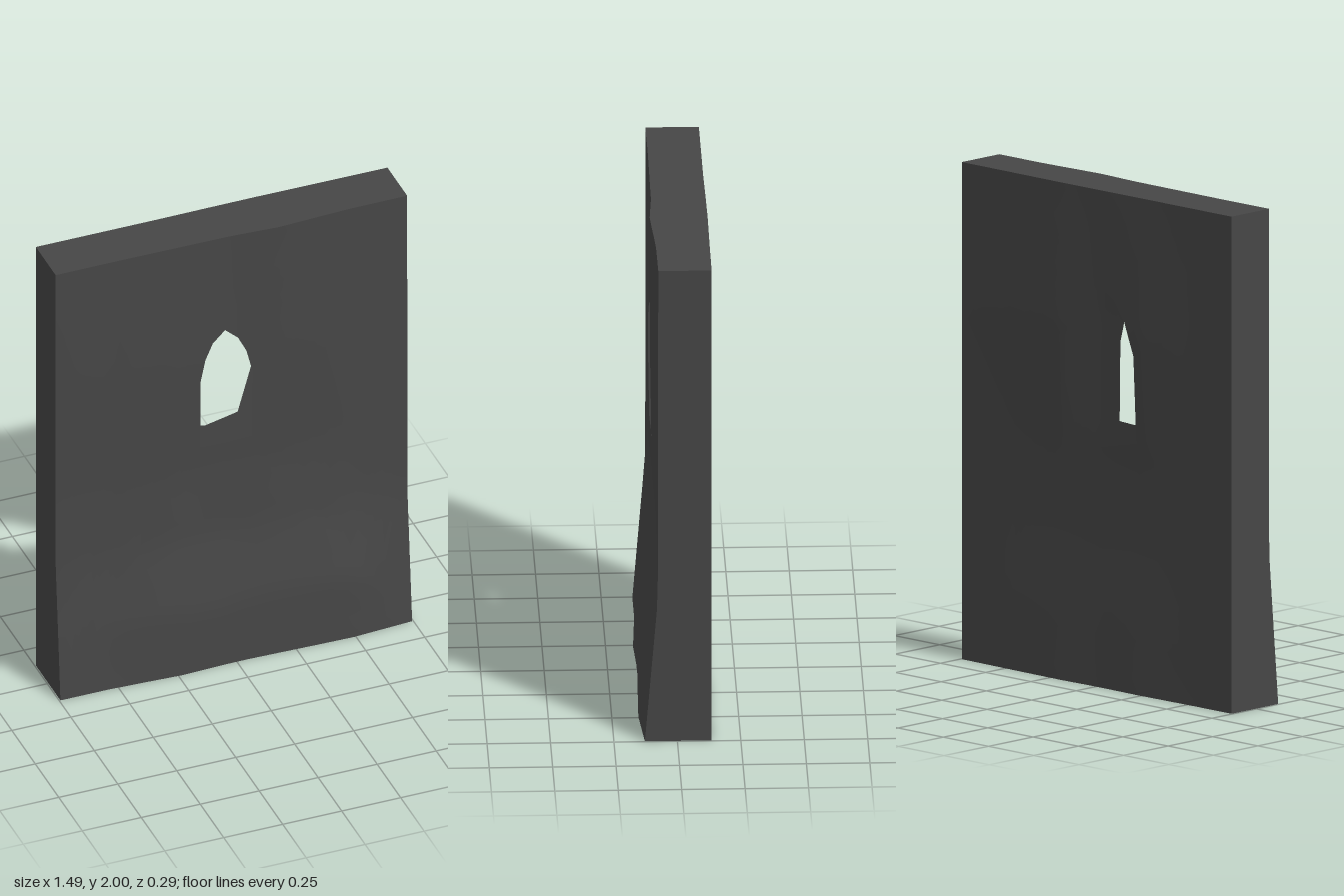
import * as THREE from 'three';
import { toCreasedNormals } from 'three/addons/utils/BufferGeometryUtils.js';

const CX = -0.025, CY = 1.25; // centre of the window, rays start here

// Outlines, anticlockwise as seen from the front; the window is wider at the back
const wallOutline = [[-0.745, 0], [0.745, 0], [0.745, 2], [-0.745, 2]];
const frontWindow = [[-0.135, 1.023], [-0.03, 1.018], [0.085, 1.023], [0.085, 1.34], [0.06, 1.44],
  [0.025, 1.51], [-0.03, 1.56], [-0.083, 1.51], [-0.115, 1.44], [-0.135, 1.34]];
const backWindow = [[-0.22, 1.01], [-0.03, 0.965], [0.11, 0.995], [0.17, 1.2], [0.17, 1.38],
  [0.1, 1.54], [-0.02, 1.61], [-0.1, 1.57], [-0.16, 1.49], [-0.21, 1.36]];

// Uneven wall faces: depth at a coarse grid of columns (x) and rows (y)
const columns = [-0.745, -0.5, -0.25, 0, 0.2, 0.48, 0.745];
const rows = [0, 0.28, 0.6, 0.9, 1.45, 2];
const frontDepth = [
  [0.127, 0.127, 0.142, 0.133, 0.138, 0.146, 0.128],
  [0.104, 0.115, 0.136, 0.126, 0.133, 0.14, 0.104],
  [0.077, 0.08, 0.093, 0.085, 0.095, 0.091, 0.077],
  [0.076, 0.077, 0.08, 0.078, 0.08, 0.08, 0.076],
  [0.076, 0.079, 0.093, 0.083, 0.09, 0.081, 0.076],
  [0.076, 0.075, 0.077, 0.079, 0.091, 0.076, 0.075]];
const backDepth = [
  [-0.135, -0.135, -0.142, -0.138, -0.145, -0.14, -0.135],
  [-0.135, -0.135, -0.138, -0.137, -0.142, -0.139, -0.135],
  [-0.134, -0.133, -0.132, -0.132, -0.132, -0.133, -0.134],
  [-0.134, -0.134, -0.134, -0.133, -0.134, -0.134, -0.134],
  [-0.135, -0.137, -0.145, -0.138, -0.146, -0.14, -0.135],
  [-0.135, -0.135, -0.135, -0.137, -0.138, -0.136, -0.135]];

function locate(list, v) {
  let i = 0;
  while (i < list.length - 2 && v > list[i + 1]) i++;
  return [i, THREE.MathUtils.clamp((v - list[i]) / (list[i + 1] - list[i]), 0, 1)];
}

function depthAt(table, x, y) {
  const [c, s] = locate(columns, x), [r, t] = locate(rows, y);
  const lerp = THREE.MathUtils.lerp;
  return lerp(lerp(table[r][c], table[r][c + 1], s), lerp(table[r + 1][c], table[r + 1][c + 1], s), t);
}

// Ray directions: even steps plus every outline corner
function rayAngles() {
  const list = [wallOutline, frontWindow, backWindow].flat().map(([x, y]) => Math.atan2(y - CY, x - CX));
  for (let i = 0; i < 56; i++) list.push(-Math.PI + (i + 0.5) / 56 * Math.PI * 2);
  list.sort((a, b) => a - b);
  return list.filter((a, i) => i === 0 || a - list[i - 1] > 1e-4);
}

// Point where a ray from the window centre meets an outline
function hit(outline, angle) {
  const dx = Math.cos(angle), dy = Math.sin(angle);
  let reach = 0;
  outline.forEach(([ax, ay], i) => {
    const [bx, by] = outline[(i + 1) % outline.length];
    const ex = bx - ax, ey = by - ay, det = dx * ey - dy * ex;
    if (Math.abs(det) < 1e-9) return;
    const t = ((ax - CX) * ey - (ay - CY) * ex) / det;
    const u = ((ax - CX) * dy - (ay - CY) * dx) / det;
    if (t > 0 && u > -1e-6 && u < 1 + 1e-6) reach = Math.max(reach, t);
  });
  return [CX + dx * reach, CY + dy * reach];
}

// Surface between two closed loops; a depth table shapes it as a wall face
function band(loopA, loopB, steps, table) {
  const n = loopA.length, positions = [], index = [];
  for (let s = 0; s <= steps; s++) {
    for (let i = 0; i < n; i++) {
      const p = loopA[i].clone().lerp(loopB[i], s / steps);
      if (table) p.z = depthAt(table, p.x, p.y);
      positions.push(p.x, p.y, p.z);
    }
  }
  for (let s = 0; s < steps; s++) {
    for (let i = 0; i < n; i++) {
      const a = s * n + i, b = s * n + (i + 1) % n;
      index.push(a, a + n, b + n, a, b + n, b);
    }
  }
  const geometry = new THREE.BufferGeometry();
  geometry.setAttribute('position', new THREE.Float32BufferAttribute(positions, 3));
  geometry.setIndex(index);
  return toCreasedNormals(geometry, 0.6);
}

export function createModel() {
  const group = new THREE.Group();
  group.name = 'wallWithWindow';
  // The wall is a hollow shell, its inside shows through the window
  const stone = new THREE.MeshStandardMaterial({ color: 0x464646, side: THREE.DoubleSide });
  const angles = rayAngles();
  const loop = (outline, table) => angles.map((a) => {
    const [x, y] = hit(outline, a);
    return new THREE.Vector3(x, y, depthAt(table, x, y));
  });

  const windowFront = loop(frontWindow, frontDepth);
  const wallFront = loop(wallOutline, frontDepth);
  const wallBack = loop(wallOutline, backDepth);
  const windowBack = loop(backWindow, backDepth);

  const add = (name, geometry) => {
    const mesh = new THREE.Mesh(geometry, stone);
    mesh.name = name;
    group.add(mesh);
  };
  add('frontFace', band(windowFront, wallFront, 18, frontDepth));
  add('wallEdges', band(wallFront, wallBack, 1));
  add('backFace', band(wallBack, windowBack, 18, backDepth));
  return group;
}
